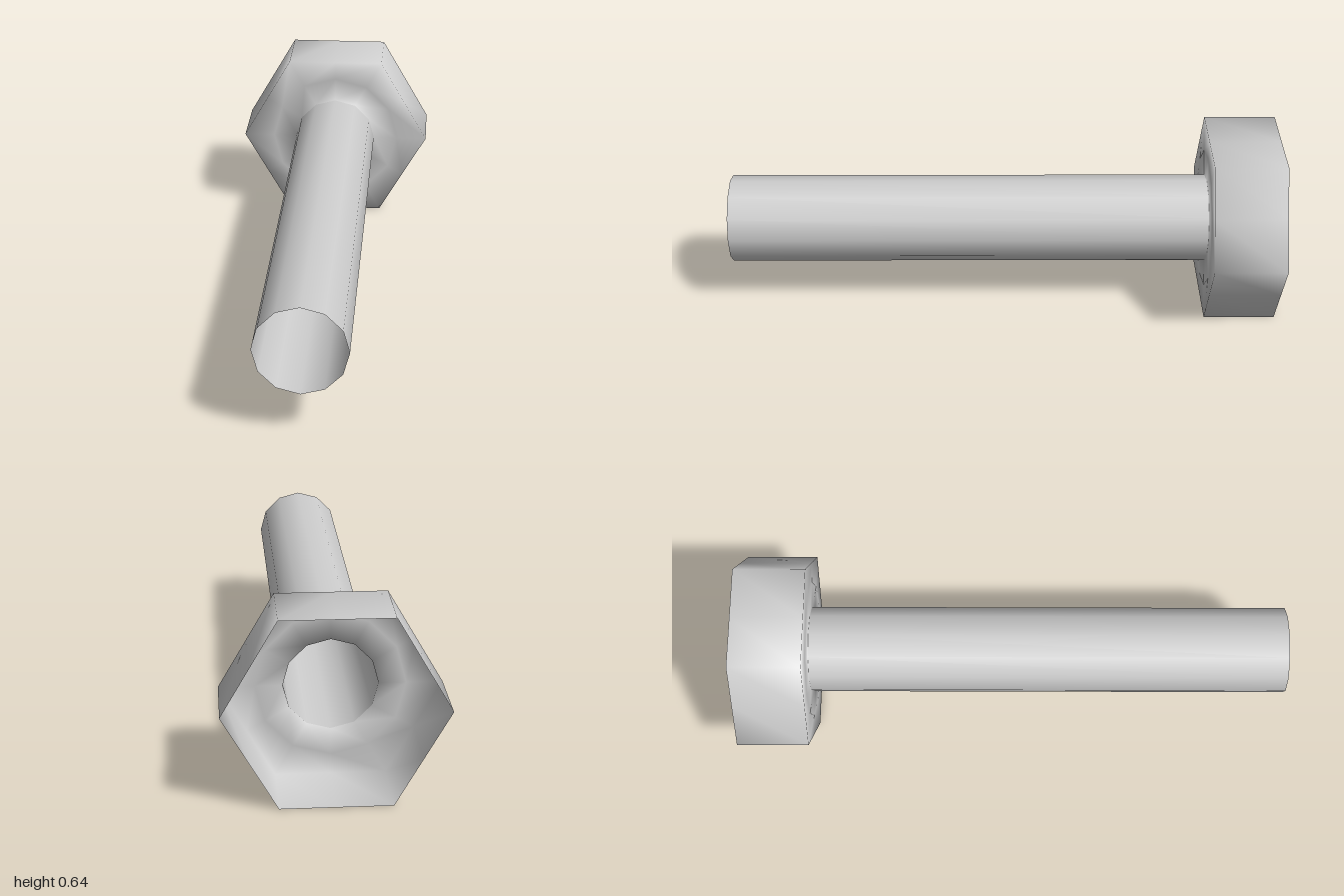
import * as THREE from 'three';

const SIDES = 12;
const SHANK_R = 0.158;
const HEAD_R = 0.37;
const FACE_Z = -0.74;

// Smooth shell lofted through rings of SIDES points: [z, radius at corners, radius between corners]
function loft(rings) {
  const pos = [], index = [];
  for (const [z, rCorner, rMid] of rings) {
    for (let i = 0; i < SIDES; i++) {
      const a = (i / SIDES) * Math.PI * 2;
      const r = i % 2 ? rMid : rCorner;
      pos.push(r * Math.cos(a), r * Math.sin(a), z);
    }
  }
  for (let j = 0; j < rings.length - 1; j++) {
    for (let i = 0; i < SIDES; i++) {
      const k = (i + 1) % SIDES;
      const a = j * SIDES + i, b = j * SIDES + k;
      const c = b + SIDES, d = a + SIDES;
      index.push(a, b, c, a, c, d);
    }
  }
  const geo = new THREE.BufferGeometry();
  geo.setAttribute('position', new THREE.Float32BufferAttribute(pos, 3));
  geo.setIndex(index);
  geo.computeVertexNormals();
  return geo;
}

export function createModel() {
  const bolt = new THREE.Group();
  bolt.name = 'hollowBolt';
  const metal = new THREE.MeshStandardMaterial({ color: 0xcccccc, side: THREE.DoubleSide });
  metal.name = 'grey metal';

  // Open tube shank pointing forward
  const shankGeo = new THREE.CylinderGeometry(SHANK_R, SHANK_R, 1 - FACE_Z, SIDES, 1, true);
  shankGeo.rotateX(Math.PI / 2);
  const shank = new THREE.Mesh(shankGeo, metal);
  shank.name = 'shank';
  shank.position.z = (1 + FACE_Z) / 2;

  // Hexagonal head: thin walls, open at the back, face pierced by the shank
  const apothem = HEAD_R * Math.cos(Math.PI / 6);
  const headGeo = loft([
    [-1, HEAD_R, apothem],
    [FACE_Z, HEAD_R, apothem],
    [FACE_Z, 0.25, 0.25],
    [FACE_Z, SHANK_R, SHANK_R],
  ]);
  // Blend the shading of the hole rim into the shank
  const normal = headGeo.attributes.normal;
  for (let i = 0; i < SIDES; i++) {
    const a = (i / SIDES) * Math.PI * 2;
    normal.setXYZ(3 * SIDES + i, Math.cos(a) * 0.87, Math.sin(a) * 0.87, 0.5);
  }
  const head = new THREE.Mesh(headGeo, metal);
  head.name = 'hexHead';

  bolt.add(shank, head);
  for (const part of bolt.children) part.position.y = apothem;
  return bolt;
}
